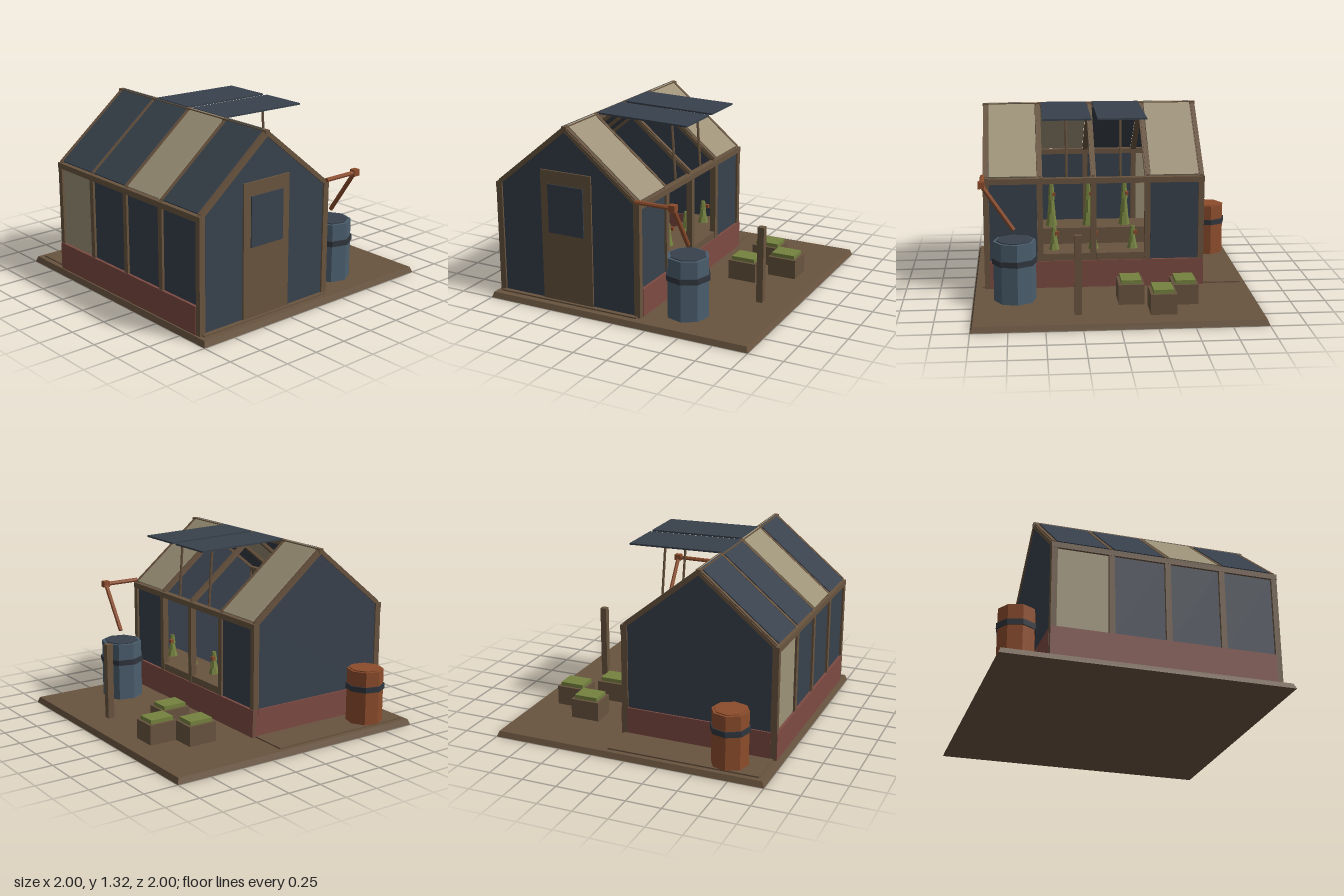
import * as THREE from 'three';

const mat = (name, color, extra = {}) => {
  const m = new THREE.MeshStandardMaterial({ color, flatShading: true, ...extra });
  m.name = name;
  return m;
};

export function createModel() {
  const root = new THREE.Group();
  root.name = 'greenhouse';
  const wood = mat('wood', 0x69543f);
  const slate = mat('slateGlass', 0x38414c);
  const tan = mat('tanPanel', 0x9d9278);
  const brick = mat('brick', 0x7c4a42);
  const blue = mat('blueBarrel', 0x4a5d6d);
  const band = mat('darkBand', 0x30363e);
  const rust = mat('rust', 0x8c4c2c);
  const green = mat('leaf', 0x75823f);

  const add = (name, geo, m, x = 0, y = 0, z = 0, parent = root) => {
    const mesh = new THREE.Mesh(geo, m);
    mesh.name = name;
    mesh.position.set(x, y, z);
    parent.add(mesh);
    return mesh;
  };
  // box from min/max extents
  const span = (name, m, x0, x1, y0, y1, z0, z1, parent) =>
    add(name, new THREE.BoxGeometry(x1 - x0, y1 - y0, z1 - z0), m,
      (x0 + x1) / 2, (y0 + y1) / 2, (z0 + z1) / 2, parent);
  // round bar between two points
  const bar = (name, m, a, b, r, sides = 6) => {
    const A = new THREE.Vector3(...a), B = new THREE.Vector3(...b);
    const d = B.clone().sub(A);
    const mesh = add(name, new THREE.CylinderGeometry(r, r, d.length(), sides), m);
    mesh.position.copy(A).add(B).multiplyScalar(0.5);
    mesh.quaternion.setFromUnitVectors(new THREE.Vector3(0, 1, 0), d.normalize());
    return mesh;
  };

  // ground slab with bevelled rim
  const slab = new THREE.BoxGeometry(2, 0.04, 2);
  const p = slab.attributes.position;
  for (let i = 0; i < p.count; i++)
    if (p.getY(i) > 0) p.setXYZ(i, p.getX(i) * 0.985, 0.02, p.getZ(i) * 0.985);
  add('groundSlab', slab, wood, 0, 0.02, 0);
  span('floor', wood, -0.95, 0.15, 0.04, 0.05, -0.95, 0.94);

  const posts = [0.9, 0.515, 0.13, -0.26, -0.65];
  const RX = -0.4;

  // brick base: sides and back
  span('brickRight', brick, 0.13, 0.175, 0.04, 0.24, -0.67, 0.88);
  span('brickLeft', brick, -0.975, -0.93, 0.04, 0.24, -0.67, 0.88);
  span('brickBack', brick, -0.93, 0.13, 0.04, 0.24, -0.672, -0.63);

  // posts, eave beams and ridge
  for (const z of posts) {
    const y0 = Math.abs(z) > 0.6 ? 0.04 : 0.24;
    span('postRight', wood, 0.125, 0.17, y0, 0.81, z - 0.02, z + 0.02);
    span('postLeft', wood, -0.97, -0.925, y0, 0.81, z - 0.02, z + 0.02);
  }
  span('eaveBeamRight', wood, 0.125, 0.172, 0.81, 0.85, -0.672, 0.922);
  span('eaveBeamLeft', wood, -0.972, -0.925, 0.81, 0.85, -0.672, 0.922);
  span('ridgeBeam', wood, RX - 0.018, RX + 0.018, 1.27, 1.31, -0.672, 0.922);

  // gable walls
  const gable = (y0) => {
    const s = new THREE.Shape([[-0.93, y0], [0.13, y0], [0.13, 0.85], [RX, 1.285], [-0.93, 0.85]]
      .map(([x, y]) => new THREE.Vector2(x, y)));
    return new THREE.ExtrudeGeometry(s, { depth: 0.02, bevelEnabled: false });
  };
  add('frontGable', gable(0.05), slate, 0, 0, 0.888);
  add('backGable', gable(0.24), slate, 0, 0, -0.66);

  // door
  span('door', wood, -0.6, -0.2, 0.05, 0.99, 0.9, 0.92);
  span('doorWindow', slate, -0.54, -0.26, 0.545, 0.895, 0.92, 0.928);

  // wall panels and roof panels, bay by bay from the front
  const DX = 0.56, DY = 0.455, L = Math.hypot(DX, DY), ang = Math.atan2(DY, DX);
  const slope = (side) => {
    const g = new THREE.Group();
    g.name = side > 0 ? 'roofRight' : 'roofLeft';
    g.position.set(RX + side * DX / 2, 1.31 - DY / 2, 0);
    g.rotation.z = -side * ang;
    root.add(g);
    return g;
  };
  const roofR = slope(1), roofL = slope(-1);
  const roofLeftMat = [slate, tan, slate, slate];
  const wallLeftMat = [slate, slate, slate, tan];
  for (let i = 0; i < 4; i++) {
    const z1 = posts[i] - 0.022, z0 = posts[i + 1] + 0.022;
    const open = i === 1 || i === 2;
    span('wallPanelLeft', wallLeftMat[i], -0.955, -0.94, 0.24, 0.815, z0, z1);
    span('roofPanelLeft', roofLeftMat[i], -L / 2 + 0.01, L / 2, -0.008, 0.006, z0, z1, roofL);
    if (!open) {
      span('wallPanelRight', slate, 0.14, 0.155, 0.24, 0.815, z0, z1);
      span('roofPanelRight', tan, -L / 2, L / 2 - 0.01, -0.008, 0.006, z0, z1, roofR);
    } else {
      // open bay: sill, raised flap and prop
      const zc = (z0 + z1) / 2;
      span('sill', wood, 0.125, 0.165, 0.24, 0.292, z0, z1);
      const flap = add('roofFlap', new THREE.BoxGeometry(0.7, 0.012, z1 - z0), slate, -0.05, 1.302, zc);
      flap.rotation.z = -0.022;
      bar('flapProp', wood, [0.098, 1.295, zc], [0.128, 0.85, zc], 0.009);
    }
  }
  // rafters with a narrow cap strip
  for (const roof of [roofR, roofL]) for (const z of posts) {
    span('rafter', wood, -L / 2, L / 2, -0.03, -0.004, z - 0.02, z + 0.02, roof);
    span('rafterCap', wood, -L / 2 + 0.01, L / 2 - 0.01, -0.004, 0.004, z - 0.012, z + 0.012, roof);
  }

  // planting beds and plants
  span('bedRight', wood, -0.18, 0.1, 0.05, 0.27, -0.6, 0.85);
  span('bedLeft', wood, -0.92, -0.64, 0.05, 0.27, -0.6, 0.85);
  const plant = (x, z, h, r) => {
    const g = new THREE.Group();
    g.name = 'plant';
    g.position.set(x, 0.27, z);
    root.add(g);
    for (let k = 0; k < 3; k++) {
      const tier = add('foliage', new THREE.CylinderGeometry(r * (0.5 - k * 0.06), r * (1 - k * 0.2), h * 0.4, 6),
        green, 0, h * (0.2 + k * 0.3), 0, g);
      tier.rotation.y = k * 0.5;
    }
    add('fruit', new THREE.BoxGeometry(0.026, 0.026, 0.026), rust, r * 0.6, h * 0.74, -0.02, g);
  };
  for (const z of [0.7, 0.41, 0.12, -0.17, -0.46]) {
    plant(-0.74, z, 0.35, 0.045);
    plant(-0.04, z, 0.17, 0.04);
  }

  // barrels
  const barrel = (name, x, z, r, y0, y1, m, top, by) => {
    const g = new THREE.Group();
    g.name = name;
    g.position.set(x, 0, z);
    g.rotation.y = 0.12;
    root.add(g);
    const h = y1 - y0;
    add('barrelBody', new THREE.CylinderGeometry(r, r, h, 8), m, 0, y0 + h / 2, 0, g);
    add('barrelHoop', new THREE.CylinderGeometry(r * 1.07, r * 1.07, 0.04, 8), band, 0, by, 0, g);
    add('barrelTop', new THREE.CylinderGeometry(r * 0.86, r * 0.86, 0.008, 8), top, 0, y1 + 0.003, 0, g);
  };
  barrel('rainBarrel', 0.42, 0.7, 0.15, 0.04, 0.47, blue, slate, 0.33);
  barrel('rustBarrel', -0.7, -0.83, 0.13, 0.05, 0.437, rust, rust, 0.31);

  // downpipe to the rain barrel
  bar('pipeAcross', rust, [0.145, 0.867, 0.922], [0.425, 0.867, 0.922], 0.016, 8);
  add('pipeElbow', new THREE.BoxGeometry(0.05, 0.046, 0.046), rust, 0.422, 0.868, 0.922);
  bar('pipeDown', rust, [0.422, 0.868, 0.922], [0.422, 0.545, 0.705], 0.016, 8);

  // crates of greens
  for (const [x, z] of [[0.52, -0.48], [0.725, -0.305], [0.495, -0.105]]) {
    span('crate', wood, x - 0.107, x + 0.107, 0.04, 0.182, z - 0.09, z + 0.09);
    span('greens', green, x - 0.088, x + 0.088, 0.18, 0.21, z - 0.07, z + 0.07);
  }

  // standing post
  span('gardenPost', wood, 0.748, 0.796, 0.04, 0.593, 0.25, 0.298);

  return root;
}
